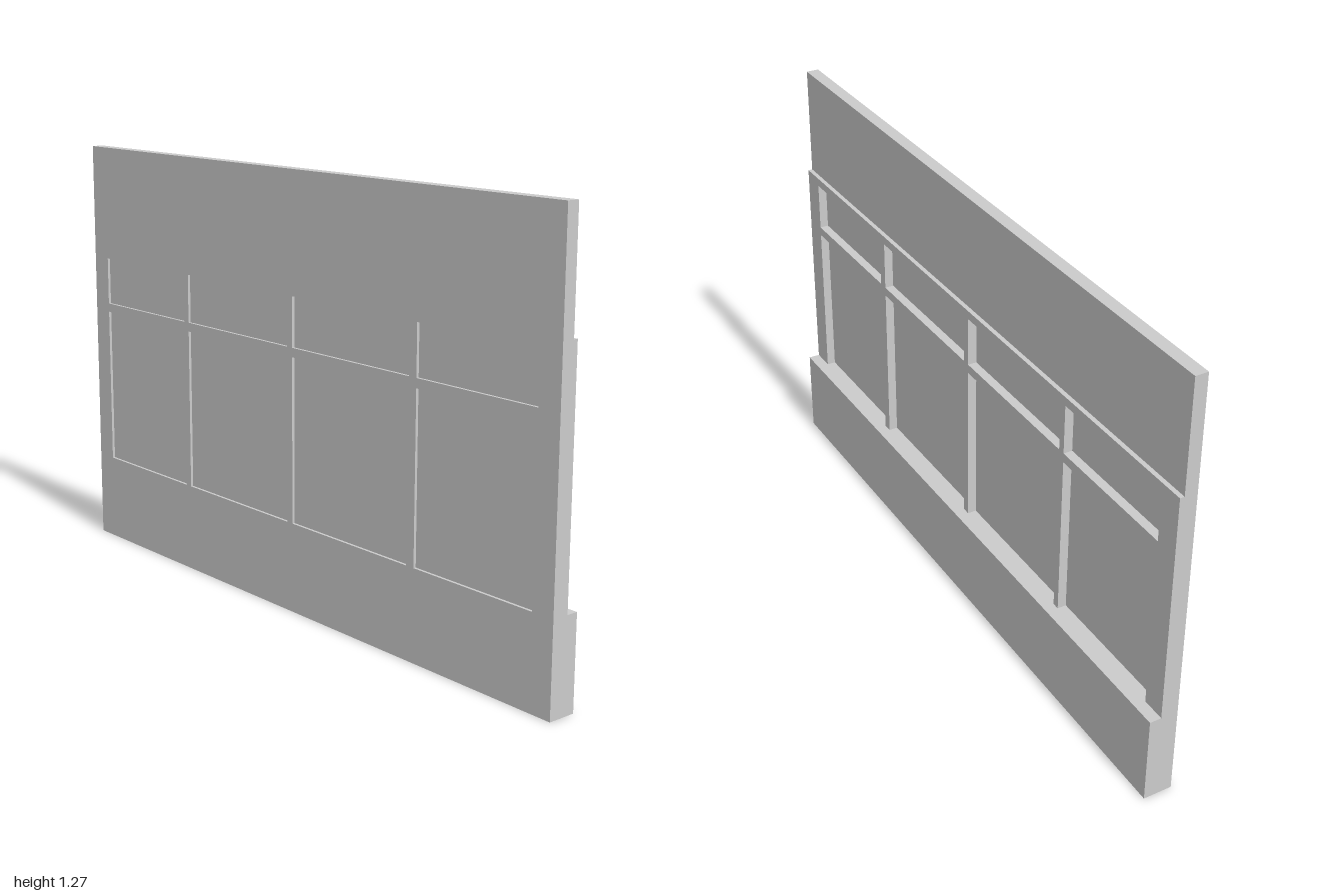
import * as THREE from 'three';

const material = new THREE.MeshStandardMaterial({ color: 0xcccccc, flatShading: true });

// Panel openings: spans along z, and heights of the two rows
const columns = [[-0.93, -0.513], [-0.492, -0.02], [0.003, 0.48], [0.508, 0.93]];
const rows = [[0.265, 0.748], [0.775, 0.92]];
const baseTop = 0.265, railTop = 0.945, wallTop = 1.27;
const back = -0.042, wallFront = -0.005, frameFront = 0.008, baseFront = 0.042;

function rectPath(path, z0, z1, y0, y1) {
  path.moveTo(-z1, y0);
  path.lineTo(-z0, y0);
  path.lineTo(-z0, y1);
  path.lineTo(-z1, y1);
  path.closePath();
  return path;
}

// Full-length slab between two x planes, pierced by the openings
function piercedSlab(name, x0, x1, y0, y1) {
  const shape = rectPath(new THREE.Shape(), -1, 1, y0, y1);
  for (const [z0, z1] of columns)
    for (const [a, b] of rows) {
      // Lower openings stop just above the slab's own edge
      const bottom = Math.max(a, y0 + 0.0005);
      shape.holes.push(rectPath(new THREE.Path(), z0, z1, bottom, b));
    }
  const geometry = new THREE.ExtrudeGeometry(shape, { depth: x1 - x0, bevelEnabled: false });
  geometry.rotateY(Math.PI / 2).translate(x0, 0, 0);
  const mesh = new THREE.Mesh(geometry, material);
  mesh.name = name;
  return mesh;
}

function block(name, x0, x1, y0, y1, z0, z1) {
  const mesh = new THREE.Mesh(new THREE.BoxGeometry(x1 - x0, y1 - y0, z1 - z0), material);
  mesh.position.set((x0 + x1) / 2, (y0 + y1) / 2, (z0 + z1) / 2);
  mesh.name = name;
  return mesh;
}

export function createModel() {
  const group = new THREE.Group();
  group.name = 'panelledWall';

  // Wall, raised frame with mullions, and projecting plinth
  group.add(piercedSlab('wall', back, wallFront, 0, wallTop));
  group.add(piercedSlab('frame', wallFront, frameFront, baseTop - 0.002, railTop));
  group.add(block('plinth', wallFront, baseFront, 0, baseTop, -1, 1));

  // Thin panes set into the openings, deep in front and shallow behind
  const panes = new THREE.Group();
  panes.name = 'panes';
  for (const [z0, z1] of columns)
    for (const [y0, y1] of rows) panes.add(block('pane', -0.034, -0.018, y0, y1, z0, z1));
  group.add(panes);

  return group;
}
